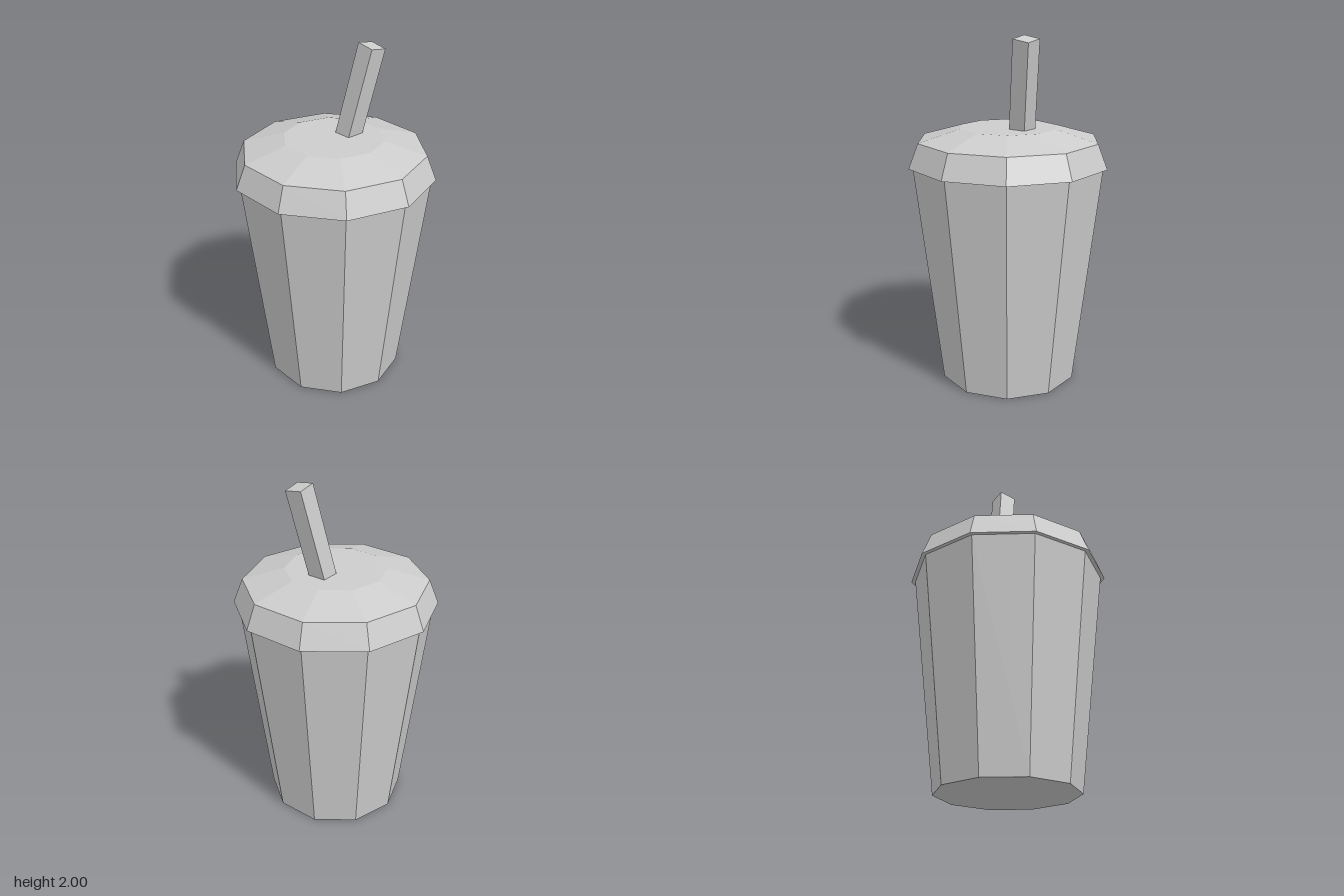
import * as THREE from 'three';

export function createModel() {
  const group = new THREE.Group();
  const grey = new THREE.MeshStandardMaterial({ color: 0xcccccc, flatShading: true });
  grey.name = 'light grey';
  const SIDES = 10;

  const add = (name, geometry) => {
    const mesh = new THREE.Mesh(geometry, grey);
    mesh.name = name;
    group.add(mesh);
    return mesh;
  };
  // Faceted solid of revolution from [radius, height] pairs, bottom to top
  const turned = (points) =>
    new THREE.LatheGeometry(points.map(([r, y]) => new THREE.Vector2(r, y)), SIDES).toNonIndexed();

  // Tapered cup with a closed base
  add('cup', turned([[0, 0], [0.4, 0], [0.552, 1.285]]));

  // Lid: thin underside lip, flared rim, sloping shoulder, flat top
  add('lid', turned([[0.54, 1.28], [0.575, 1.28], [0.52, 1.42], [0.284, 1.488], [0, 1.488]]));

  // Square straw leaning to the left and forward, its foot just inside the lid
  const foot = new THREE.Vector3(0.095, 1.43, 0.002);
  const tip = new THREE.Vector3(0.188, 1.985, 0.093);
  const straw = add('straw', new THREE.BoxGeometry(0.104, foot.distanceTo(tip), 0.104));
  straw.position.copy(foot).add(tip).multiplyScalar(0.5);
  straw.quaternion.setFromUnitVectors(new THREE.Vector3(0, 1, 0), tip.clone().sub(foot).normalize());

  return group;
}
